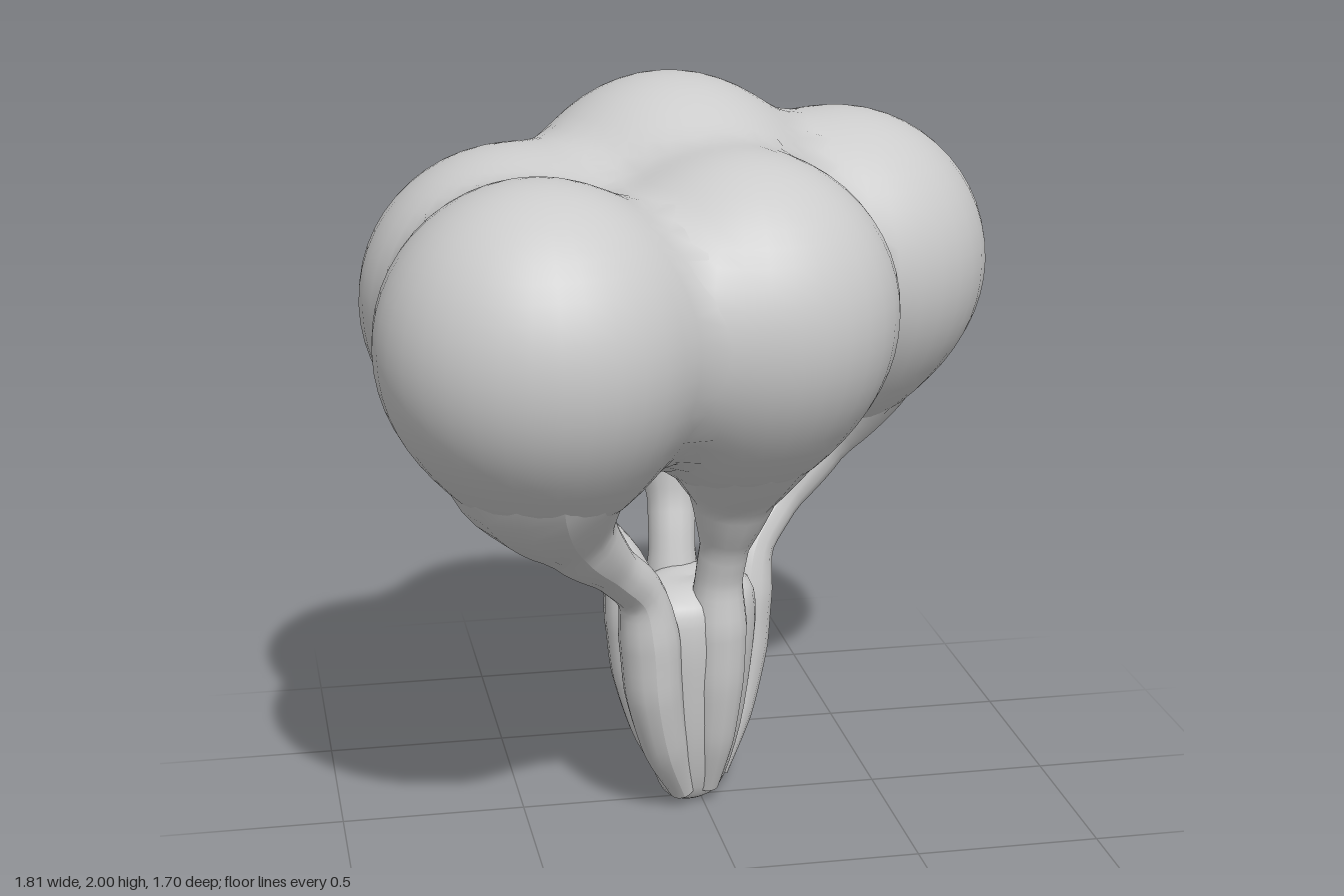
import * as THREE from 'three';

const material = new THREE.MeshStandardMaterial({ color: 0xcccccc, side: THREE.DoubleSide });

// Head centre, head radius, and where its stalk leaves the trunk (x, z)
const florets = [
  { name: 'frontRight', head: [-0.49, 1.44, 0.43], r: 0.415, root: [-0.17, 0.155] },
  { name: 'front', head: [0.07, 1.44, 0.18], r: 0.42, root: [0.03, 0.09] },
  { name: 'backRight', head: [-0.49, 1.44, -0.07], r: 0.41, root: [-0.18, -0.03] },
  { name: 'back', head: [-0.03, 1.575, -0.29], r: 0.42, root: [-0.05, -0.15] },
  { name: 'backLeft', head: [0.475, 1.435, -0.425], r: 0.425, root: [0.155, -0.16] },
];

// Points of each stalk's upper part: share of the way from root to head, height
const stalkRise = [[0.96, 1.22], [0.92, 1.08], [0.71, 0.92], [0.36, 0.78], [0.08, 0.67]];
const stalkFoot = [[1, 0.54], [0.92, 0.38], [0.7, 0.2], [0.36, 0.04]];
const stalkRadii = [0.34, 0.24, 0.115, 0.068, 0.066, 0.084, 0.08, 0.064, 0.035];

function risePoint({ head, root }, share, y) {
  return new THREE.Vector3(
    THREE.MathUtils.lerp(root[0], head[0], share),
    y + (head[1] - 1.44) * share * 0.8,
    THREE.MathUtils.lerp(root[1], head[2], share));
}

// Balls that melt together: every head, and a neck below it
const BLEND = 0.05;
const balls = florets.flatMap((f) => [
  { centre: new THREE.Vector3(...f.head), r: f.r },
  { centre: risePoint(f, 0.93, 1.19), r: 0.235 },
]);

function add(group, name, geometry, position = [0, 0, 0]) {
  const mesh = new THREE.Mesh(geometry, material);
  mesh.name = name;
  mesh.position.set(...position);
  group.add(mesh);
}

// Smoothly blended distance to all balls; writes the outward direction to normal
function blendedDistance(point, normal) {
  let sum = 0;
  normal.set(0, 0, 0);
  for (const { centre, r } of balls) {
    const away = point.clone().sub(centre);
    const length = away.length();
    const weight = Math.exp(-(length - r) / BLEND);
    sum += weight;
    normal.addScaledVector(away, weight / length);
  }
  normal.normalize();
  return -BLEND * Math.log(sum);
}

// Sphere whose surface is pushed out into soft creases with its neighbours
function fusedHead({ head, r }) {
  const geometry = new THREE.SphereGeometry(1, 36, 26);
  const pos = geometry.attributes.position;
  const centre = new THREE.Vector3(...head);
  const dir = new THREE.Vector3(), point = new THREE.Vector3(), normal = new THREE.Vector3();
  for (let i = 0; i < pos.count; i++) {
    dir.fromBufferAttribute(pos, i);
    let reach = r;
    for (let step = 0; step < 12; step++) {
      point.copy(centre).addScaledVector(dir, reach);
      reach = Math.min(reach - blendedDistance(point, normal), r * 1.2);
    }
    pos.setXYZ(i, dir.x * reach, dir.y * reach, dir.z * reach);
    geometry.attributes.normal.setXYZ(i, normal.x, normal.y, normal.z);
  }
  return geometry;
}

// Round tube of varying radius along a curve
function taperedTube(points, radii, steps = 40, sides = 14) {
  const path = new THREE.CatmullRomCurve3(points);
  const geometry = new THREE.TubeGeometry(path, steps, 1, sides, false);
  const pos = geometry.attributes.position;
  const v = new THREE.Vector3();
  for (let i = 0; i <= steps; i++) {
    const t = path.getUtoTmapping(i / steps) * (radii.length - 1);
    const k = Math.min(Math.floor(t), radii.length - 2);
    const radius = THREE.MathUtils.lerp(radii[k], radii[k + 1], t - k);
    const centre = path.getPointAt(i / steps);
    for (let j = 0; j <= sides; j++) {
      const n = i * (sides + 1) + j;
      v.fromBufferAttribute(pos, n).sub(centre).multiplyScalar(radius).add(centre);
      pos.setXYZ(n, v.x, v.y, v.z);
    }
  }
  geometry.computeVertexNormals();
  return geometry;
}

// Stalk: flares into the head above, forms one lobe of the trunk below
function stalk(floret) {
  const upper = stalkRise.map(([share, y]) => risePoint(floret, share, y));
  const lower = stalkFoot.map(([f, y]) => new THREE.Vector3(floret.root[0] * f, y, floret.root[1] * f));
  return taperedTube([...upper, ...lower], stalkRadii);
}

export function createModel() {
  const model = new THREE.Group();
  model.name = 'floretTree';

  // Heads and their stalks
  for (const floret of florets) {
    const part = new THREE.Group();
    part.name = `${floret.name}Floret`;
    add(part, 'head', fusedHead(floret), floret.head);
    add(part, 'stalk', stalk(floret));
    model.add(part);
  }

  // Trunk core between the stalk lobes, wider along one diagonal
  const profile = [[0, 0], [0.05, 0.003], [0.085, 0.05], [0.125, 0.2], [0.15, 0.38], [0.16, 0.52], [0.145, 0.61], [0.08, 0.65], [0, 0.645]];
  const curve = new THREE.SplineCurve(profile.map(([x, y]) => new THREE.Vector2(x, y)));
  const core = new THREE.LatheGeometry(curve.getPoints(24), 24).scale(1.35, 1, 1).rotateY(Math.PI / 4);
  add(model, 'trunk', core, [-0.02, 0, -0.02]);

  return model;
}
